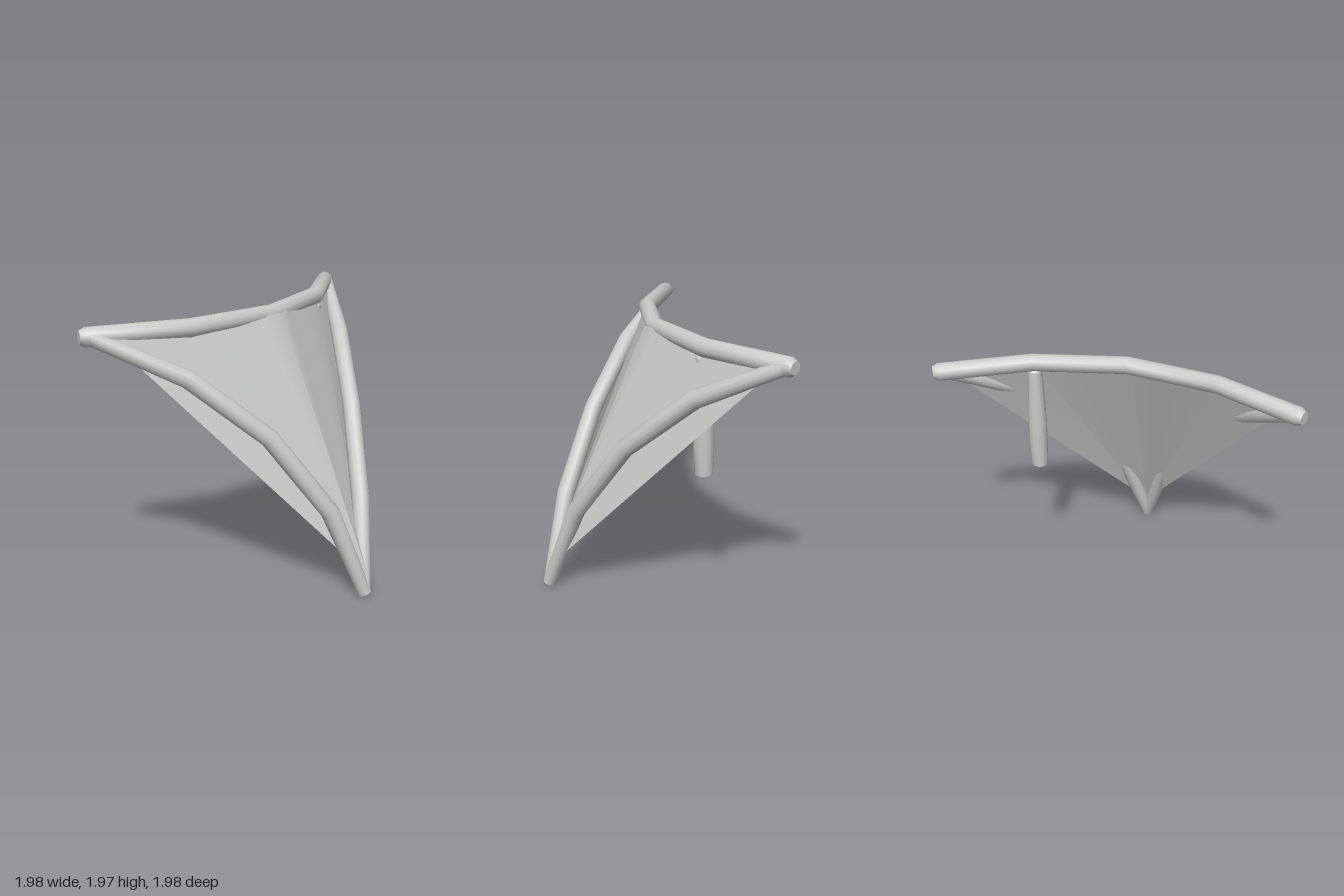
import * as THREE from 'three';
import { toCreasedNormals } from 'three/addons/utils/BufferGeometryUtils.js';

const V = (x, y, z) => new THREE.Vector3(x, y, z);

// Tube along a flat polyline, one ring per point, with its own radius at each point
function barGeometry(points, radii, normal, sides = 12) {
  const pos = [], index = [], last = points.length - 1;
  points.forEach((p, i) => {
    const t = points[Math.min(i + 1, last)].clone().sub(points[Math.max(i - 1, 0)]).normalize();
    const b = t.clone().cross(normal);
    for (let j = 0; j < sides; j++) {
      const a = (j / sides) * Math.PI * 2;
      const q = p.clone()
        .addScaledVector(normal, Math.cos(a) * radii[i])
        .addScaledVector(b, Math.sin(a) * radii[i]);
      pos.push(q.x, q.y, q.z);
    }
  });
  for (let i = 0; i < last; i++) {
    for (let j = 0; j < sides; j++) {
      const k = (j + 1) % sides;
      const a = i * sides + j, b = i * sides + k;
      index.push(a, b, b + sides, a, b + sides, a + sides);
    }
  }
  // end caps
  const s = pos.length / 3, e = last * sides;
  pos.push(...points[0].toArray(), ...points[last].toArray());
  for (let j = 0; j < sides; j++) {
    const k = (j + 1) % sides;
    index.push(s, k, j, s + 1, e + j, e + k);
  }
  const g = new THREE.BufferGeometry();
  g.setAttribute('position', new THREE.Float32BufferAttribute(pos, 3));
  g.setIndex(index);
  return toCreasedNormals(g, 0.7);
}

// Curved sheet: straight lines from a lower corner to a bowed top edge
function sheetGeometry(top, apex) {
  const pos = [], index = [], n = top.length;
  top.forEach((p) => pos.push(...p.toArray()));
  top.forEach(() => pos.push(...apex.toArray()));
  for (let i = 0; i < n - 1; i++) index.push(i, n + i, i + 1);
  const g = new THREE.BufferGeometry();
  g.setAttribute('position', new THREE.Float32BufferAttribute(pos, 3));
  g.setIndex(index);
  g.computeVertexNormals();
  return g;
}

export function createModel() {
  const group = new THREE.Group();
  const grey = new THREE.MeshStandardMaterial({ color: 0xc8cac7, side: THREE.DoubleSide });
  grey.name = 'lightGrey';
  const add = (name, geometry) => {
    const mesh = new THREE.Mesh(geometry, grey);
    mesh.name = name;
    group.add(mesh);
    return mesh;
  };

  // Top bar, bowed outwards, with bevelled ends
  const half = [[-0.98, 0.93], [-0.94, 0.918], [-0.275, 0.72]];
  const topPath = [...half, [0.32, 0.32], ...half.map(([x, z]) => [z, x]).reverse()];
  add('topBar', barGeometry(
    topPath.map(([x, z]) => V(x, 1.915, z)),
    [0.045, 0.066, 0.066, 0.066, 0.066, 0.066, 0.045], V(0, 1, 0)));

  // Two matching bowed bars running down to the lower corner
  const sidePath = [[-0.92, 1.915], [-0.3, 1.63], [0.235, 1.21], [0.66, 0.665], [0.932, 0.03]];
  const sideRadii = [0.05, 0.065, 0.065, 0.065, 0.05];
  add('frontBar', barGeometry(
    sidePath.map(([u, y]) => V(u, y, 0.927)), sideRadii, V(0, 0, 1)));
  add('sideBar', barGeometry(
    sidePath.map(([u, y]) => V(0.927, y, u)), sideRadii, V(1, 0, 0)));

  // Sheet stretched across the frame
  const edge = [[-0.28, 0.735], [0.02, 0.56], [0.24, 0.44]];
  const topEdge = [[-0.82, 0.94], ...edge, [0.375, 0.375],
    ...edge.map(([x, z]) => [z, x]).reverse(), [0.94, -0.89]];
  add('sheet', sheetGeometry(topEdge.map(([x, z]) => V(x, 1.93, z)), V(0.955, 0.15, 0.935)));

  // Short post hanging from the top bar, slightly swollen in the middle
  const profile = [[0, 1.03], [0.062, 1.03], [0.072, 1.22], [0.072, 1.42], [0.054, 1.85], [0, 1.9]];
  const post = add('post', toCreasedNormals(
    new THREE.LatheGeometry(profile.map(([r, y]) => new THREE.Vector2(r, y)), 12), 0.7));
  post.position.set(0.71, 0, -0.255);

  return group;
}
